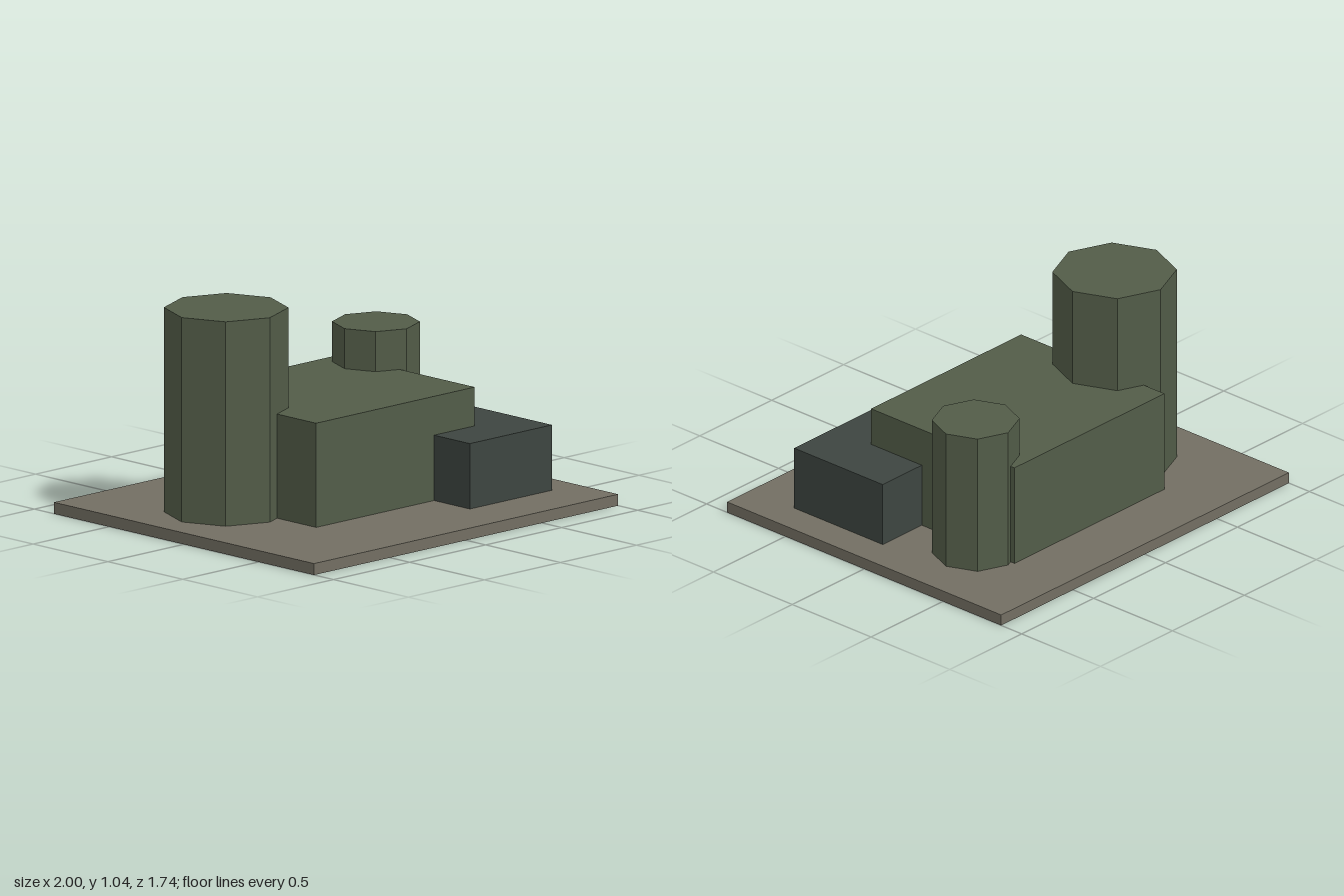
import * as THREE from 'three';

const material = (name, color) => {
  const m = new THREE.MeshStandardMaterial({ color, flatShading: true });
  m.name = name;
  return m;
};

export function createModel() {
  const group = new THREE.Group();
  const ground = material('stone grey', 0x726e62);
  const green = material('dull green', 0x525c48);
  const dark = material('dark slate', 0x3d4540);
  const baseTop = 0.055;

  const add = (name, geometry, mat, x, y, z) => {
    const mesh = new THREE.Mesh(geometry, mat);
    mesh.name = name;
    mesh.position.set(x, y, z);
    group.add(mesh);
  };

  // Box given by its extents
  const block = (name, mat, x0, x1, y0, y1, z0, z1) =>
    add(name, new THREE.BoxGeometry(x1 - x0, y1 - y0, z1 - z0), mat,
      (x0 + x1) / 2, (y0 + y1) / 2, (z0 + z1) / 2);

  // Eight-sided tank standing on the base
  const tank = (name, radius, top, x, z) =>
    add(name, new THREE.CylinderGeometry(radius, radius, top - baseTop, 8), green,
      x, (top + baseTop) / 2, z);

  block('basePlate', ground, -1, 1, 0, baseTop, -0.87, 0.87);
  block('mainBuilding', green, -0.48, 0.563, baseTop, 0.557, -0.555, 0.355);
  block('annex', dark, 0.295, 0.835, baseTop, 0.37, 0.033, 0.595);
  tank('largeTank', 0.292, 1.04, -0.56, -0.165);
  tank('smallTank', 0.206, 0.75, 0.595, -0.338);

  return group;
}
